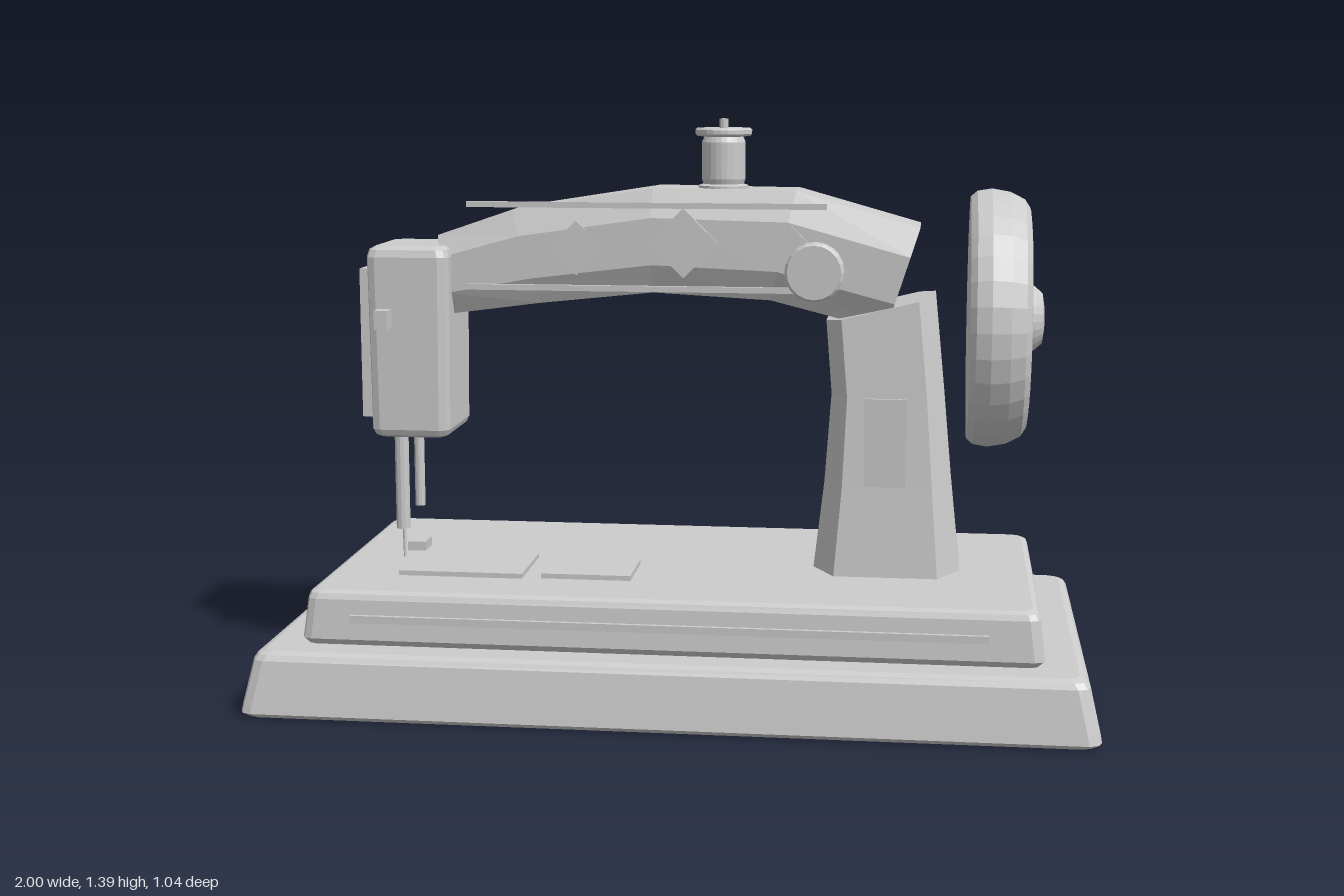
import * as THREE from 'three';

const grey = new THREE.MeshStandardMaterial({ color: 0xcccccc, flatShading: true });
grey.name = 'light grey';

// Closed skin through rings of points; each ring runs counter-clockwise about the sweep direction
function loft(rings) {
  const pos = [];
  const tri = (...p) => p.forEach((v) => pos.push(v.x, v.y, v.z));
  const n = rings[0].length;
  for (let r = 0; r < rings.length - 1; r++) {
    for (let i = 0; i < n; i++) {
      const j = (i + 1) % n;
      const a = rings[r], b = rings[r + 1];
      tri(a[i], a[j], b[j]);
      tri(a[i], b[j], b[i]);
    }
  }
  const first = rings[0], last = rings[rings.length - 1];
  for (let i = 1; i < n - 1; i++) {
    tri(first[0], first[i + 1], first[i]);
    tri(last[0], last[i], last[i + 1]);
  }
  const g = new THREE.BufferGeometry();
  g.setAttribute('position', new THREE.Float32BufferAttribute(pos, 3));
  g.computeVertexNormals();
  return g;
}

// Upright block with rounded corners; levels are [y, half width, half depth]
function slab(levels, c, cx = 0, cz = 0) {
  const corners = [[1, 1, 0], [1, -1, 1], [-1, -1, 2], [-1, 1, 3]];
  return loft(levels.map(([y, hx, hz]) => corners.flatMap(([sx, sz, q]) =>
    [0, 1, 2].map((k) => {
      const a = (q + k / 2) * Math.PI / 2;
      return new THREE.Vector3(
        cx + sx * (hx - c) + c * Math.sin(a), y, cz + sz * (hz - c) + c * Math.cos(a));
    }))));
}

export function createModel() {
  const model = new THREE.Group();
  model.name = 'sewingMachine';

  const add = (name, geometry, x = 0, y = 0, z = 0) => {
    const m = new THREE.Mesh(geometry, grey);
    m.name = name;
    m.position.set(x, y, z);
    model.add(m);
    return m;
  };
  // Box given by its limits on each axis
  const box = (name, x0, x1, y0, y1, z0, z1) => add(name,
    new THREE.BoxGeometry(x1 - x0, y1 - y0, z1 - z0), (x0 + x1) / 2, (y0 + y1) / 2, (z0 + z1) / 2);
  const rod = (name, r, x, y0, y1, z, r0 = r) => add(name,
    new THREE.CylinderGeometry(r, r0, y1 - y0, 12), x, (y0 + y1) / 2, z);
  const lathe = (pts, seg) => new THREE.LatheGeometry(pts.map((p) => new THREE.Vector2(...p)), seg);

  // Stepped base
  add('base', slab([[0, 0.985, 0.505], [0.012, 1, 0.52], [0.03, 0.997, 0.517],
    [0.135, 0.973, 0.498], [0.148, 0.965, 0.49], [0.155, 0.95, 0.475]], 0.03));
  add('bed', slab([[0.15, 0.86, 0.4], [0.17, 0.875, 0.415], [0.265, 0.863, 0.406],
    [0.278, 0.858, 0.4], [0.285, 0.845, 0.388]], 0.025));
  box('bedTrim', -0.75, 0.745, 0.215, 0.233, 0.42, 0.43);
  box('needlePlate', -0.68, -0.375, 0.28, 0.297, 0.015, 0.235);
  box('slidePlate', -0.33, -0.11, 0.28, 0.297, 0.055, 0.225);

  // Column: octagonal, narrowing upward to a sloping top; [yLeft, yRight, xLeft, xRight, half depth]
  const columnShape = [[-0.7, 1], [0.7, 1], [1, 0.42], [1, -0.42],
    [0.7, -1], [-0.7, -1], [-1, -0.42], [-1, 0.42]];
  add('column', loft([
    [0.28, 0.28, 0.32, 0.68, 0.165], [0.5, 0.5, 0.345, 0.656, 0.147],
    [0.72, 0.72, 0.36, 0.635, 0.132], [0.9, 0.965, 0.345, 0.61, 0.118],
  ].map(([yl, yr, xl, xr, d]) => columnShape.map(([u, v]) => {
    const t = (u + 1) / 2;
    return new THREE.Vector3(xl + (xr - xl) * t, yl + (yr - yl) * t, -0.045 + v * d);
  }))));
  box('columnPlaque', 0.445, 0.545, 0.51, 0.725, 0.114, 0.122);

  // Arched arm: [top x, top y, bottom x, bottom y, half depth]
  const armShape = [[1, -0.72], [1, 0.72], [0.45, 1], [-0.45, 1],
    [-1, 0.72], [-1, -0.72], [-0.45, -1], [0.45, -1]];
  add('arm', loft([
    [-0.62, 1.1, -0.585, 0.905, 0.1], [-0.43, 1.165, -0.36, 0.935, 0.106],
    [-0.08, 1.22, -0.08, 0.965, 0.114], [0.27, 1.215, 0.21, 0.95, 0.12],
    [0.57, 1.13, 0.49, 0.88, 0.127],
  ].map(([tx, ty, bx, by, d]) => armShape.map(([u, v]) => {
    const t = (u + 1) / 2;
    return new THREE.Vector3(bx + (tx - bx) * t, by + (ty - by) * t, -0.052 + v * d);
  }))));
  for (const [y, name] of [[1.182, 'upperTrim'], [0.98, 'lowerTrim']]) {
    box(name, -0.53, 0.347, y - 0.007, y + 0.007, 0.082, 0.094);
  }
  for (const [x, y, side, z] of [[-0.265, 1.075, 0.095, 0.056], [0, 1.09, 0.12, 0.07], [0.26, 1.07, 0.095, 0.076]]) {
    add('diamondOrnament', new THREE.BoxGeometry(side, side, 0.009), x, y, z).rotation.z = Math.PI / 4;
  }
  add('tensionDial', lathe([[0, -0.025], [0.064, -0.025], [0.07, -0.018],
    [0.07, 0.018], [0.064, 0.025], [0, 0.025]], 20), 0.325, 1.035, 0.18).rotation.x = Math.PI / 2;

  // Head with end cover, bars, needle and foot
  add('head', slab([[0.6, 0.082, 0.112], [0.606, 0.093, 0.122], [0.62, 0.099, 0.128],
    [1.05, 0.103, 0.131], [1.068, 0.098, 0.125], [1.076, 0.085, 0.112]], 0.024, -0.683, -0.03));
  box('endCover', -0.805, -0.78, 0.65, 1.02, -0.14, 0.08);
  box('headKnob', -0.745, -0.713, 0.88, 0.927, 0.13, 0.175);
  rod('needleBar', 0.018, -0.717, 0.36, 0.62, 0.045);
  rod('presserBar', 0.013, -0.672, 0.42, 0.62, 0.045);
  rod('needle', 0.005, -0.715, 0.285, 0.37, 0.045, 0.003);
  box('presserFoot', -0.695, -0.65, 0.312, 0.335, 0.025, 0.09);

  // Handwheel with a recessed face and a hub
  add('handwheel', lathe([[0, 0.69], [0.297, 0.69], [0.31, 0.705], [0.316, 0.74],
    [0.308, 0.785], [0.29, 0.82], [0.27, 0.833], [0.252, 0.835], [0.246, 0.828],
    [0.246, 0.803], [0, 0.803]], 32), 0, 0.905, -0.05).rotation.z = -Math.PI / 2;
  add('wheelHub', lathe([[0, 0.8], [0.088, 0.8], [0.088, 0.835], [0.078, 0.85],
    [0.062, 0.868], [0.03, 0.873], [0, 0.874]], 24), 0, 0.905, -0.05).rotation.z = -Math.PI / 2;

  // Spool on its pin
  add('spool', lathe([[0, 1.2], [0.062, 1.2], [0.062, 1.224], [0.05, 1.228], [0.054, 1.24],
    [0.054, 1.33], [0.048, 1.343], [0.066, 1.345], [0.07, 1.35], [0.07, 1.36],
    [0.066, 1.364], [0, 1.364]], 24), 0.085, 0, -0.055);
  rod('spoolPin', 0.011, 0.085, 1.35, 1.387, -0.055);

  return model;
}
